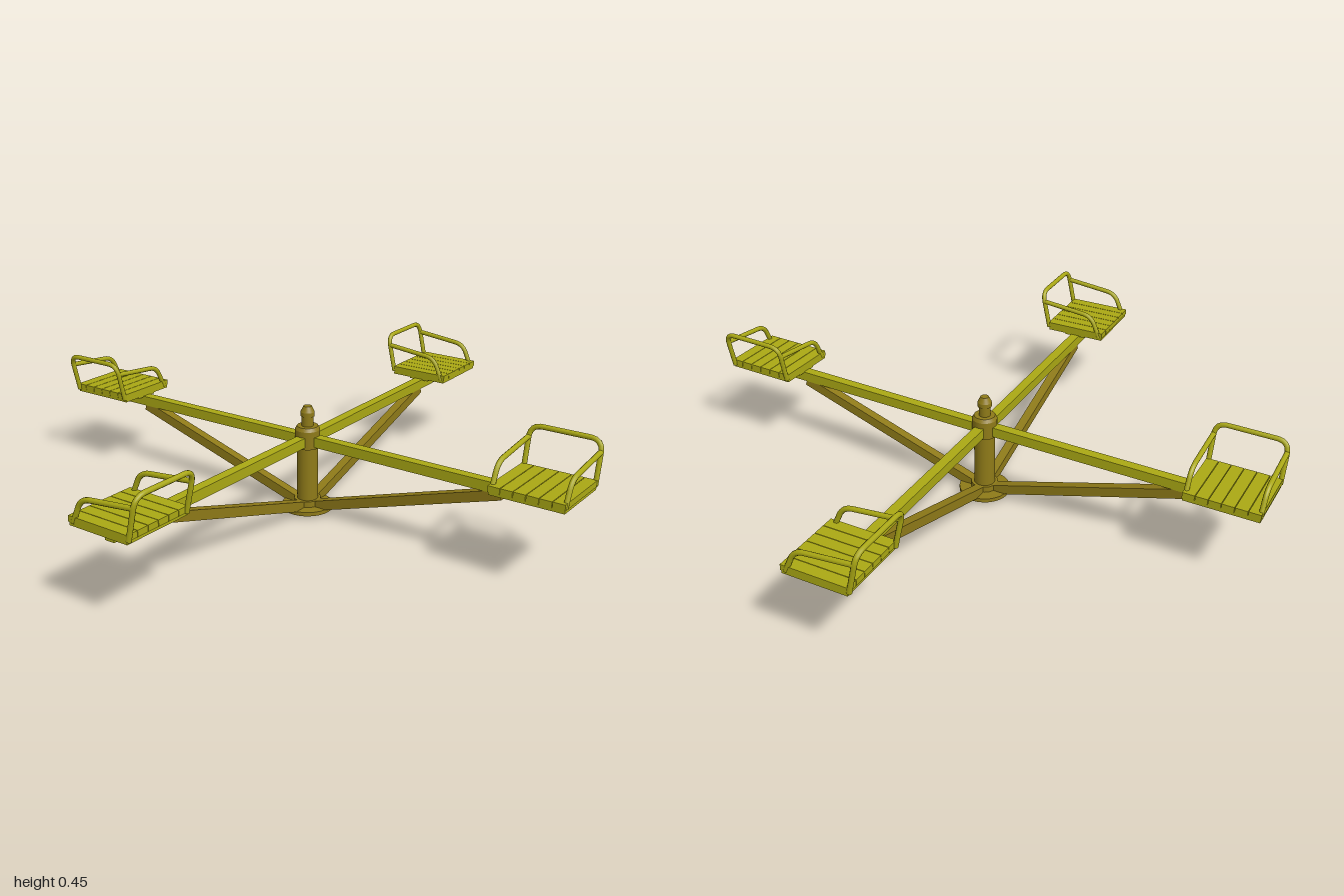
import * as THREE from 'three';

const paint = new THREE.MeshStandardMaterial({ color: 0xaaa814 });
const worn = new THREE.MeshStandardMaterial({ color: 0x8e7a18 });
const V = (x, y, z) => new THREE.Vector3(x, y, z);

function mesh(name, geometry, material = paint) {
  const m = new THREE.Mesh(geometry, material);
  m.name = name;
  return m;
}

function box(name, w, h, d, x, y, z, material) {
  const m = mesh(name, new THREE.BoxGeometry(w, h, d), material);
  m.position.set(x, y, z);
  return m;
}

// Square beam between two points in the x-y plane
function beam(name, a, b, height, depth, material) {
  const m = mesh(name, new THREE.BoxGeometry(a.distanceTo(b), height, depth), material);
  m.position.copy(a).lerp(b, 0.5);
  m.rotation.z = Math.atan2(b.y - a.y, b.x - a.x);
  return m;
}

// Bent pipe: straight runs joined by rounded corners
function pipe(name, points, bend) {
  const path = new THREE.CurvePath();
  let from = points[0];
  for (let i = 1; i < points.length - 1; i++) {
    const p = points[i];
    const enter = p.clone().add(points[i - 1].clone().sub(p).setLength(bend));
    const leave = p.clone().add(points[i + 1].clone().sub(p).setLength(bend));
    path.add(new THREE.LineCurve3(from, enter));
    path.add(new THREE.QuadraticBezierCurve3(enter, p, leave));
    from = leave;
  }
  path.add(new THREE.LineCurve3(from, points[points.length - 1]));
  return mesh(name, new THREE.TubeGeometry(path, 40, 0.0085, 10), paint);
}

// Seat around its own centre: backrest towards -z, y = 0 at the underside
function createSeat() {
  const seat = new THREE.Group();
  seat.name = 'seat';
  // Slatted board
  const slats = 6, width = 0.25 / slats;
  for (let i = 0; i < slats; i++) {
    seat.add(box('seatSlat', width - 0.002, 0.02, 0.225, -0.125 + (i + 0.5) * width, 0.02, 0));
  }
  seat.add(box('seatPan', 0.245, 0.014, 0.22, 0, 0.007, 0));
  // Leaning backrest hoop
  seat.add(pipe('backrest', [
    V(-0.118, 0.01, -0.112), V(-0.118, 0.148, -0.143),
    V(0.118, 0.148, -0.143), V(0.118, 0.01, -0.112),
  ], 0.04));
  // Armrests curving down to the front corners
  for (const s of [-1, 1]) {
    seat.add(pipe('armrest', [
      V(s * 0.118, 0.112, -0.135), V(s * 0.118, 0.091, 0.062), V(s * 0.118, 0.01, 0.098),
    ], 0.035));
  }
  return seat;
}

function createArm() {
  const arm = new THREE.Group();
  arm.name = 'arm';
  // Main beam and diagonal brace
  arm.add(beam('armBeam', V(0, 0, 0), V(0.95, 0, 0), 0.035, 0.034));
  arm.add(beam('brace', V(0.03, -0.237, 0), V(0.74, -0.018, 0), 0.034, 0.032, worn));
  // Crosspiece under the seat
  arm.add(box('seatBracket', 0.2, 0.008, 0.08, 0.85, 0.0175, 0));
  const seat = createSeat();
  seat.position.set(0.87, 0.019, 0);
  arm.add(seat);
  return arm;
}

export function createModel() {
  const model = new THREE.Group();
  model.name = 'merryGoRound';

  // Base plate, post, collar and top bearing turned as one hub
  const profile = [
    [0, 0], [0.05, 0], [0.05, 0.01], [0.088, 0.01], [0.088, 0.024], [0.046, 0.024], [0.046, 0.045],
    [0.036, 0.045], [0.036, 0.235], [0.043, 0.235], [0.043, 0.298], [0.036, 0.31],
    [0.02, 0.31], [0.02, 0.345], [0.024, 0.345], [0.024, 0.36], [0.014, 0.38], [0, 0.38],
  ];
  // Doubled points keep the turned edges crisp
  for (let i = 1; i < profile.length; i++) {
    const pair = [profile[i - 1], profile[i]].map(p => new THREE.Vector2(...p));
    model.add(mesh('hub', new THREE.LatheGeometry(pair, 28), worn));
  }

  // Four arms, each slightly out of true
  const yaw = [-0.011, 0.011, 0, 0.011];
  const lift = [0.012, 0, -0.012, 0.01];
  for (let i = 0; i < 4; i++) {
    const arm = createArm();
    arm.position.y = 0.26;
    arm.rotation.order = 'YZX';
    arm.rotation.set(0, i * Math.PI / 2 + yaw[i], lift[i]);
    model.add(arm);
  }
  return model;
}
